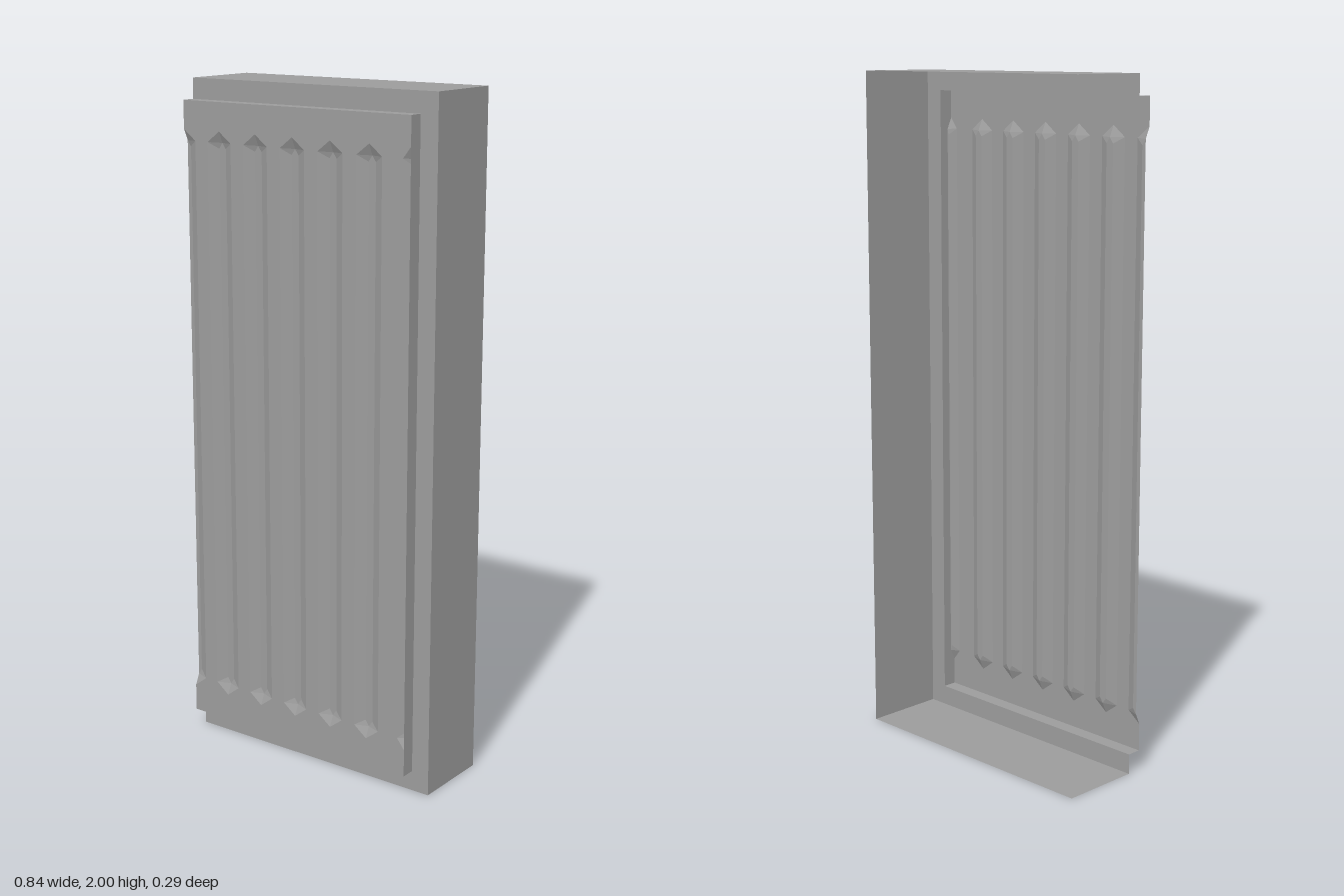
import * as THREE from 'three';

const L = -0.42, R = 0.42, BACK = -0.143, FRAME = 0.1, FACE = 0.143, FLOOR = 0.128;
const PR = 0.364, PB = 0.06, PT = 1.94;             // raised panel limits
// Upper end of a groove: tip, mouth corner, floor centre, floor corner
const APEX = 1.858, SHOULDER = 1.826, END = 1.825, CORNER = 1.808;

const material = new THREE.MeshStandardMaterial({ color: 0x9c9c9c, flatShading: true, side: THREE.DoubleSide });

// Fan of triangles for each convex polygon, corners counter-clockwise from outside
function sheet(name, polygons) {
  const pos = [];
  for (const p of polygons)
    for (let i = 1; i < p.length - 1; i++) pos.push(...p[0], ...p[i], ...p[i + 1]);
  const g = new THREE.BufferGeometry();
  g.setAttribute('position', new THREE.Float32BufferAttribute(pos, 3));
  g.computeVertexNormals();
  const mesh = new THREE.Mesh(g, material);
  mesh.name = name;
  return mesh;
}

const frontRect = (x0, x1, y0, y1, z) => [[x0, y0, z], [x1, y0, z], [x1, y1, z], [x0, y1, z]];
const levelRect = (x0, x1, z0, z1, y) => [[x0, y, z1], [x1, y, z1], [x1, y, z0], [x0, y, z0]];
const sideRect = (y0, y1, z0, z1, x) => [[x, y0, z1], [x, y0, z0], [x, y1, z0], [x, y1, z1]];
const flip = (p) => [...p].reverse();

// Half a groove: s = side of the centre line, w0 = floor half width, w1 = mouth half width
function halfGroove(cx, s, w0, w1) {
  const a = cx + s * w0, b = cx + s * w1;
  const out = [];
  for (const up of [true, false]) {
    const Y = (y) => (up ? y : 2 - y);
    const parts = [
      [[cx, Y(APEX), FACE], [b, Y(SHOULDER), FACE], [b, Y(PT), FACE], [cx, Y(PT), FACE]],     // land
      [[cx, Y(END), FLOOR], [b, Y(SHOULDER), FACE], [cx, Y(APEX), FACE]],                     // pointed end
      [[cx, Y(END), FLOOR], [a, Y(CORNER), FLOOR], [b, Y(SHOULDER), FACE]],
      [[a, 1, FLOOR], [b, 1, FACE], [b, Y(SHOULDER), FACE], [a, Y(CORNER), FLOOR]],           // sloping wall
      [[cx, 1, FLOOR], [a, 1, FLOOR], [a, Y(CORNER), FLOOR], [cx, Y(END), FLOOR]],            // floor
    ];
    out.push(...parts.map((p) => ((s > 0) === up ? p : flip(p))));
  }
  return out;
}

export function createModel() {
  const group = new THREE.Group();
  group.name = 'corrugatedPanelSection';

  // Outer shell, open at the back and at the -x end
  group.add(sheet('topWall', [levelRect(L, R, BACK, FRAME, 2)]));
  group.add(sheet('bottomWall', [flip(levelRect(L, R, BACK, FRAME, 0))]));
  group.add(sheet('sideWall', [sideRect(0, 2, BACK, FRAME, R)]));

  // Flat frame around the raised panel
  group.add(sheet('frontFrame', [
    frontRect(L, R, PT, 2, FRAME),
    frontRect(L, R, 0, PB, FRAME),
    frontRect(PR, R, PB, PT, FRAME),
  ]));

  // Grooved panel face: half groove at the -x end, five full ones, narrow half groove at the +x edge
  const pitch = 0.13, w0 = 0.012, w1 = 0.042, edgeFloor = 0.004, edgeMouth = 0.025;
  const face = [];
  for (let i = 0; i < 6; i++) {
    const cx = L + i * pitch;
    if (i > 0) face.push(...halfGroove(cx, -1, w0, w1));
    face.push(...halfGroove(cx, 1, w0, w1));
    face.push(frontRect(cx + w1, i < 5 ? cx + pitch - w1 : PR - edgeMouth, PB, PT, FACE));
  }
  face.push(...halfGroove(PR, -1, edgeFloor, edgeMouth));
  group.add(sheet('groovedPanel', face));

  // Step from the frame out to the panel
  group.add(sheet('panelStep', [
    levelRect(L, PR, FRAME, FACE, PT),
    flip(levelRect(L, PR, FRAME, FACE, PB)),
    sideRect(PB, PT, FRAME, FACE, PR),
  ]));

  return group;
}
